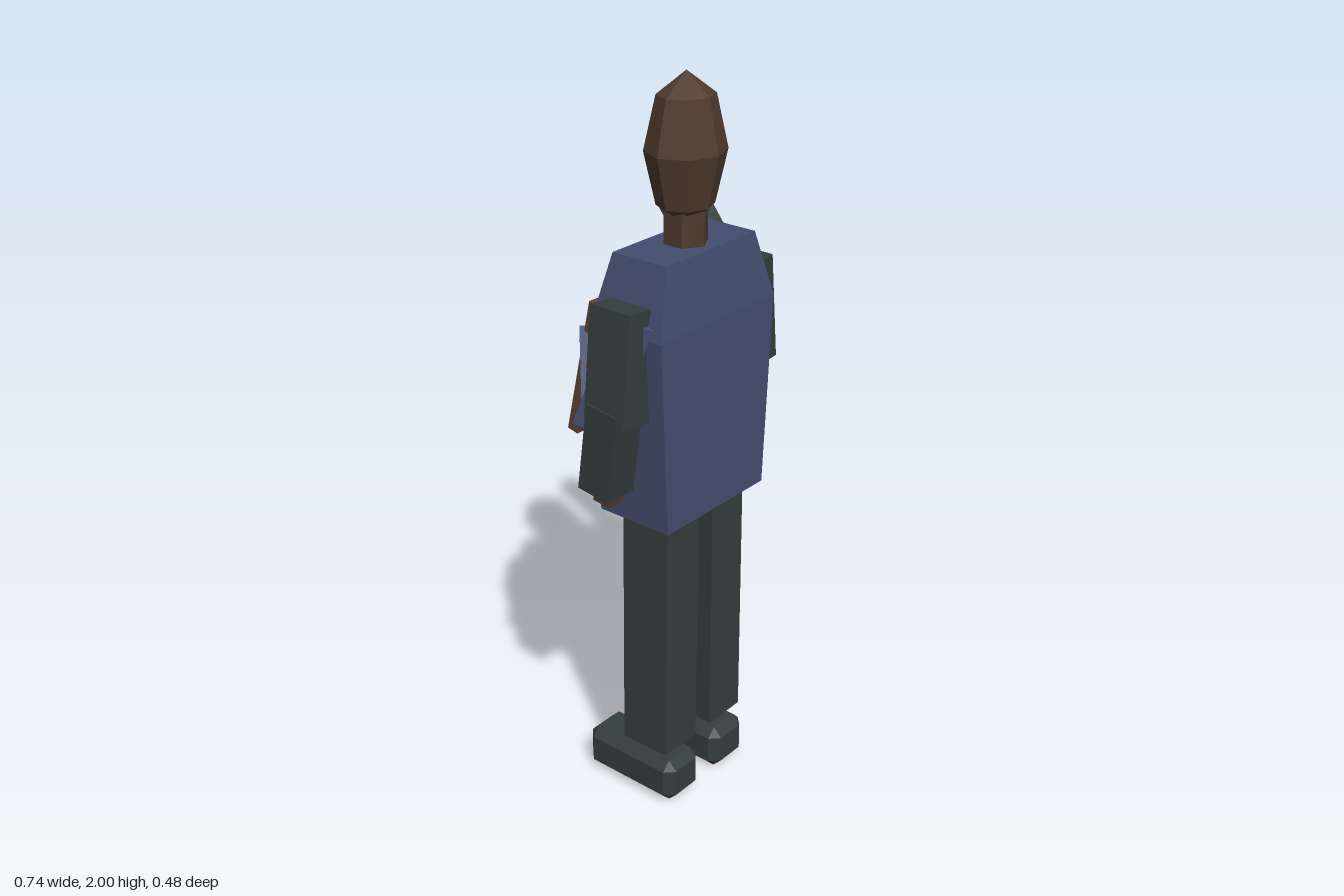
import * as THREE from 'three';
import { ConvexGeometry } from 'three/addons/geometries/ConvexGeometry.js';

const mat = (color) => new THREE.MeshStandardMaterial({ color, flatShading: true });
const CX = -0.053; // body's own centre line

export function createModel() {
  const root = new THREE.Group();
  const skin = mat(0x4e3a2d), coat = mat(0x434d6e), cloth = mat(0x343e3d);
  const wood = mat(0x61422e), paper = mat(0xb9b4a5), metal = mat(0x8f8e89);

  const add = (name, geo, material, x = 0, y = 0, z = 0, parent = root) => {
    const m = new THREE.Mesh(geo, material);
    m.name = name;
    m.position.set(x, y, z);
    parent.add(m);
    return m;
  };
  const box = (w, h, d) => new THREE.BoxGeometry(w, h, d);

  // box stretched from point a to point b
  const limb = (name, a, b, w, t, material) => {
    const p = new THREE.Vector3(...a), q = new THREE.Vector3(...b);
    const m = add(name, box(w, t, p.distanceTo(q)), material);
    m.position.copy(p).lerp(q, 0.5);
    m.lookAt(q);
    return m;
  };

  // box with cut edges and corners
  const chamferBox = (w, h, d, c) => {
    const pts = [];
    for (const sx of [-1, 1]) for (const sy of [-1, 1]) for (const sz of [-1, 1])
      for (let k = 0; k < 3; k++)
        pts.push(new THREE.Vector3(
          sx * (w / 2 - (k === 0 ? 0 : c)),
          sy * (h / 2 - (k === 1 ? 0 : c)),
          sz * (d / 2 - (k === 2 ? 0 : c))));
    return new ConvexGeometry(pts);
  };

  // head and neck
  add('head', new THREE.SphereGeometry(1, 8, 4), skin, CX, 1.81, 0.13).scale.set(0.107, 0.19, 0.099);
  add('neck', new THREE.CylinderGeometry(0.058, 0.058, 0.16, 6), skin, CX, 1.62, 0.132);

  // torso: rectangular sections [y, half width, zMin, zMax]
  const rings = [
    [0.88, 0.196, 0.016, 0.24],
    [1.405, 0.224, 0.016, 0.24],
    [1.58, 0.173, 0.046, 0.213],
  ];
  const torso = [];
  for (const [y, hw, z0, z1] of rings)
    for (const s of [-1, 1]) for (const z of [z0, z1]) torso.push(new THREE.Vector3(CX + s * hw, y, z));
  add('torso', new ConvexGeometry(torso), coat);

  for (const s of [-1, 1]) {
    const x = (d) => CX + s * d;
    // leg and shoe
    limb('leg', [x(0.092), 0.94, 0.132], [x(0.098), 0.165, 0.132], 0.148, 0.13, cloth)
      .name = 'leg';
    add('shoe', chamferBox(0.137, 0.13, 0.308, 0.026), cloth, x(0.1), 0.07, 0.074);

    // hanging arm
    limb('upperArm', [x(0.232), 1.48, 0.13], [x(0.262), 1.19, 0.13], 0.125, 0.098, cloth);
    limb('forearm', [x(0.262), 1.23, 0.125], [x(0.262), 0.99, 0.092], 0.098, 0.098, cloth);
    limb('hand', [x(0.262), 1.01, 0.105], [x(0.262), 0.96, 0.099], 0.053, 0.053, skin);

    // folded arm reaching toward the clipboard
    limb('foldedUpperArm', [x(0.2), 1.45, 0.15], [x(0.25), 1.155, 0.052], 0.1, 0.1, coat);
    limb('foldedForearm', [x(0.235), 1.16, 0.055], [x(0.085), 1.3, -0.085], 0.095, 0.1, coat);
  }

  // raised arm
  limb('raisedUpperArm', [0.17, 1.455, 0.125], [0.285, 1.36, -0.005], 0.115, 0.11, cloth);
  limb('raisedForearm', [0.272, 1.355, 0.012], [0.317, 1.553, -0.192], 0.085, 0.108, cloth);
  limb('raisedHand', [0.312, 1.53, -0.17], [0.318, 1.578, -0.212], 0.055, 0.055, skin);

  // clipboard, leaning with its top toward the body
  const clipboard = new THREE.Group();
  clipboard.name = 'clipboard';
  clipboard.position.set(CX, 1.225, -0.09);
  clipboard.rotation.x = 0.22;
  root.add(clipboard);
  add('board', box(0.278, 0.385, 0.034), wood, 0, 0, 0, clipboard);
  add('sheet', box(0.229, 0.315, 0.006), paper, 0, 0.015, -0.02, clipboard);
  add('clip', box(0.082, 0.04, 0.05), metal, 0, 0.175, -0.035, clipboard);

  // chest badge
  const badge = new THREE.Group();
  badge.name = 'badge';
  badge.position.set(CX, 1.488, 0.003);
  badge.rotation.x = 0.08;
  root.add(badge);
  add('badgePlate', box(0.114, 0.14, 0.01), metal, 0, 0, 0, badge);
  add('badgeInset', box(0.036, 0.1, 0.008), skin, 0, -0.015, -0.008, badge);

  return root;
}
